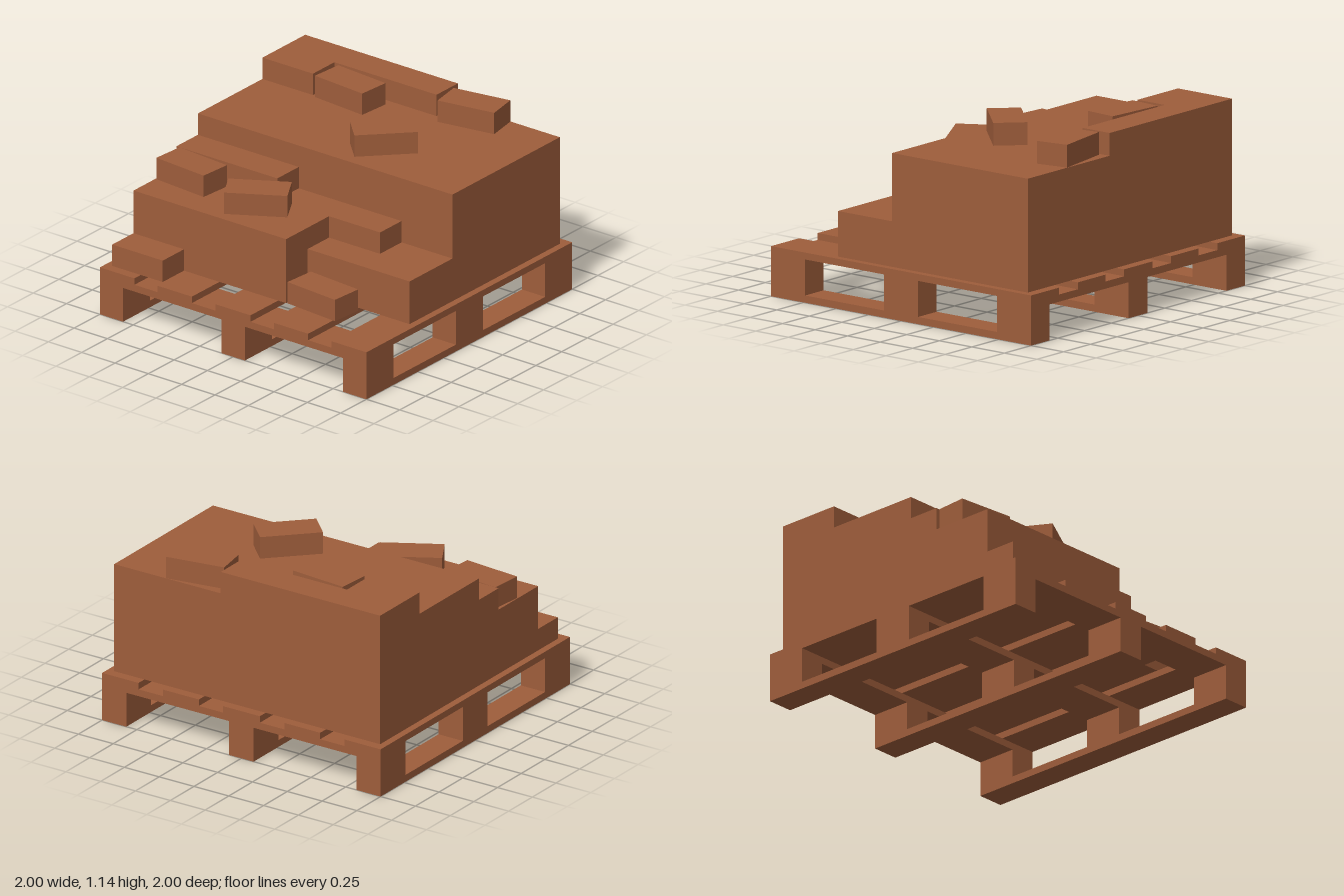
import * as THREE from 'three';

export function createModel() {
  const model = new THREE.Group();
  const clay = new THREE.MeshStandardMaterial({ color: 0x9e5d3b });
  clay.name = 'brickBrown';

  // Box given by its lower and upper limits on each axis
  function block(parent, name, [x0, x1], [y0, y1], [z0, z1]) {
    const mesh = new THREE.Mesh(new THREE.BoxGeometry(x1 - x0, y1 - y0, z1 - z0), clay);
    mesh.position.set((x0 + x1) / 2, (y0 + y1) / 2, (z0 + z1) / 2);
    mesh.name = name;
    parent.add(mesh);
  }

  // Pallet
  const pallet = new THREE.Group();
  pallet.name = 'pallet';
  model.add(pallet);
  const runners = [[-1, -0.826], [-0.088, 0.088], [0.826, 1]];
  const rows = [[-1, -0.738], [-0.131, 0.131], [0.738, 1]];
  const deck = [[-1, -0.741], [-0.566, -0.31], [-0.133, 0.13], [0.305, 0.563], [0.738, 1]];
  for (const x of runners) {
    block(pallet, 'bottomRunner', x, [0, 0.044], [-1, 1]);
    for (const z of rows) block(pallet, 'spacerBlock', x, [0.044, 0.22], z);
  }
  for (const z of rows) block(pallet, 'crossBoard', [-1, 1], [0.22, 0.264], z);
  for (const x of deck) block(pallet, 'deckBoard', x, [0.264, 0.306], [-1, 1]);

  // Stepped stack of bricks; level(n) is the height after n courses
  const stack = new THREE.Group();
  stack.name = 'brickStack';
  model.add(stack);
  const course = 0.139;
  const level = n => 0.306 + n * course;
  const edge = 0.955, back = -0.938, front = 0.105;
  block(stack, 'mainStack', [-edge, edge], [level(0), level(5)], [back, front]);
  block(stack, 'tallStep', [-edge, 0.19], [level(0), level(3)], [front, 0.731]);
  block(stack, 'lowStep', [0.19, edge], [level(0), level(2)], [front, 0.522]);
  block(stack, 'lowStepBrick', [0.19, 0.573], [level(2), level(3)], [front, 0.314]);
  block(stack, 'tallStepBricks', [-edge, -0.198], [level(3), level(4)], [front, 0.314]);
  block(stack, 'frontBrick', [-edge, -0.576], [level(0), level(1)], [0.731, 0.938]);

  // L-shaped unfinished top course
  const outline = [[-edge, back], [0.19, back], [0.19, -0.731], [-0.576, -0.731], [-0.576, -0.522], [-edge, -0.522]];
  const shape = new THREE.Shape(outline.map(([x, z]) => new THREE.Vector2(x, -z)));
  const topGeometry = new THREE.ExtrudeGeometry(shape, { depth: course, bevelEnabled: false });
  topGeometry.rotateX(-Math.PI / 2);
  const topCourse = new THREE.Mesh(topGeometry, clay);
  topCourse.position.y = level(5);
  topCourse.name = 'topCourse';
  stack.add(topCourse);

  // Loose bricks: x, z, courses below, turn in radians
  const loose = [
    [0.415, -0.803, 5, 0.17],
    [-0.351, -0.593, 5, -0.085],
    [0.223, -0.177, 5, 0.79],
    [-0.75, 0.432, 3, -0.085],
    [-0.212, 0.485, 3, 0.525],
    [0.397, 0.642, 0, -0.085],
  ];
  for (const [x, z, n, turn] of loose) {
    const brick = new THREE.Mesh(new THREE.BoxGeometry(0.381, course, 0.205), clay);
    brick.position.set(x, level(n) + course / 2, z);
    brick.rotation.y = turn;
    brick.name = 'looseBrick';
    stack.add(brick);
  }
  return model;
}
